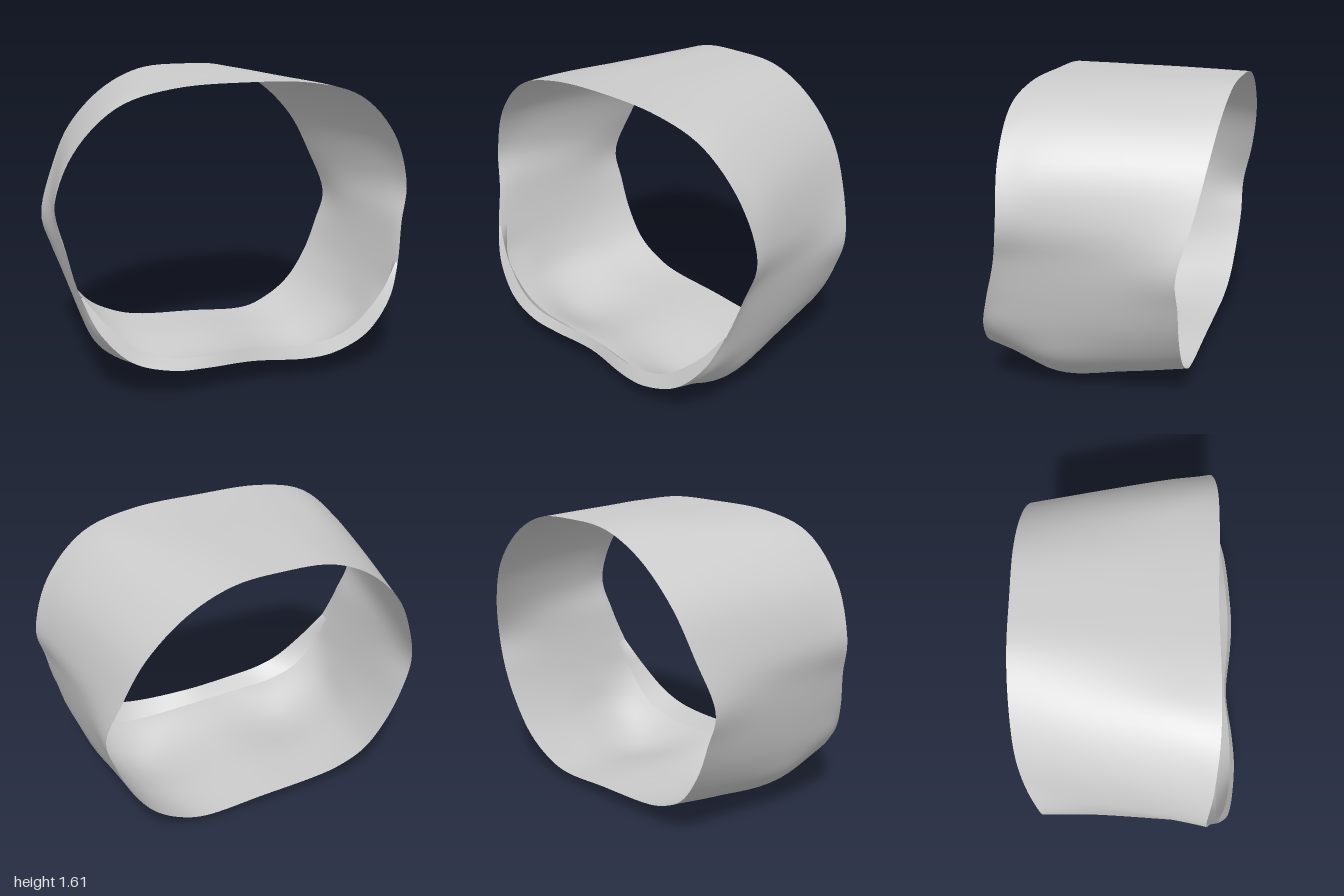
import * as THREE from 'three';

// Half outlines of the band's sections, running from top centre to bottom centre
const frontRim = [
  [0, 1.6, 0.42], [0.38, 1.585, 0.43], [0.68, 1.5, 0.43], [0.9, 1.28, 0.41], [1, 1, 0.39], [0.955, 0.78, 0.43],
  [0.9, 0.56, 0.5], [0.82, 0.38, 0.56], [0.67, 0.22, 0.6], [0.47, 0.14, 0.62], [0.28, 0.12, 0.61], [0, 0.135, 0.58],
];
const seam = [
  [0, 1.6, 0.36], [0.37, 1.585, 0.36], [0.67, 1.505, 0.36], [0.89, 1.28, 0.35], [0.99, 1, 0.34], [0.945, 0.78, 0.38],
  [0.9, 0.56, 0.44], [0.84, 0.37, 0.49], [0.7, 0.21, 0.5], [0.51, 0.125, 0.51], [0.3, 0.11, 0.51], [0, 0.13, 0.5],
];
const bulge = [
  [0, 1.6, 0.2], [0.36, 1.585, 0.2], [0.64, 1.51, 0.2], [0.87, 1.28, 0.2], [0.96, 1, 0.2], [0.93, 0.78, 0.22],
  [0.89, 0.55, 0.24], [0.84, 0.36, 0.24], [0.76, 0.19, 0.24], [0.6, 0.05, 0.24], [0.4, 0, 0.24], [0, 0.08, 0.24],
];
const middle = [
  [0, 1.605, -0.2], [0.31, 1.59, -0.2], [0.58, 1.49, -0.2], [0.79, 1.28, -0.2], [0.89, 1, -0.2], [0.905, 0.78, -0.18],
  [0.87, 0.56, -0.16], [0.81, 0.37, -0.15], [0.71, 0.2, -0.15], [0.56, 0.08, -0.15], [0.36, 0.04, -0.15], [0, 0.08, -0.15],
];
const backRim = [
  [0, 1.605, -0.62], [0.27, 1.585, -0.62], [0.51, 1.47, -0.61], [0.71, 1.27, -0.59], [0.83, 1.03, -0.55], [0.91, 0.78, -0.49],
  [0.86, 0.58, -0.49], [0.78, 0.39, -0.48], [0.66, 0.22, -0.47], [0.5, 0.11, -0.46], [0.32, 0.06, -0.45], [0, 0.08, -0.45],
];
// Crest of the inner ridge, from the side of the band to bottom centre
const crest = [
  [0.895, 0.57, 0.49], [0.78, 0.42, 0.54], [0.62, 0.28, 0.575], [0.46, 0.21, 0.59], [0.26, 0.19, 0.585], [0, 0.2, 0.565],
];

// Mirrors a half outline; the underside sits slightly higher on the -x side
function mirrored(half, closed) {
  const right = half.map((p) => new THREE.Vector3(...p));
  const left = right
    .slice(closed ? 1 : 0, -1)
    .reverse()
    .map((p) => {
      const lift = 0.04 * THREE.MathUtils.clamp((0.25 - p.y) / 0.2, 0, 1);
      return new THREE.Vector3(-p.x, p.y + lift, p.z);
    });
  return new THREE.CatmullRomCurve3([...right, ...left], closed, 'catmullrom', 0.5);
}

// Skins a smooth sheet across a sequence of section curves
function loft(sections, around, along) {
  const positions = [];
  const indices = [];
  for (let i = 0; i <= around; i++) {
    const strip = new THREE.CatmullRomCurve3(sections.map((c) => c.getPoint(i / around)));
    for (let j = 0; j <= along; j++) {
      positions.push(...strip.getPoint(j / along).toArray());
      if (i < around && j < along) {
        const a = i * (along + 1) + j;
        const b = a + along + 1;
        indices.push(a, b, a + 1, b, b + 1, a + 1);
      }
    }
  }
  const geometry = new THREE.BufferGeometry();
  geometry.setAttribute('position', new THREE.Float32BufferAttribute(positions, 3));
  geometry.setIndex(indices);
  geometry.computeVertexNormals();
  return geometry;
}

export function createModel() {
  const model = new THREE.Group();
  const material = new THREE.MeshStandardMaterial({ color: 0xcccccc, side: THREE.DoubleSide });
  const add = (name, geometry) => {
    const mesh = new THREE.Mesh(geometry, material);
    mesh.name = name;
    model.add(mesh);
  };

  // Open band, wide at the front and bulging underneath
  const rings = [frontRim, seam, bulge, middle, backRim].map((half) => mirrored(half, true));
  add('band', loft(rings, 132, 28));

  // Raised ridge along the lower front rim: a steep front face and a back slope down to the floor
  const lowerFront = mirrored(frontRim.slice(6), false);
  const ridgeTop = mirrored(crest, false);
  const lowerSeam = mirrored(seam.slice(6), false);
  add('ridgeFrontFace', loft([ridgeTop, lowerFront], 60, 3));
  add('ridgeBackSlope', loft([lowerSeam, ridgeTop], 60, 3));

  return model;
}
